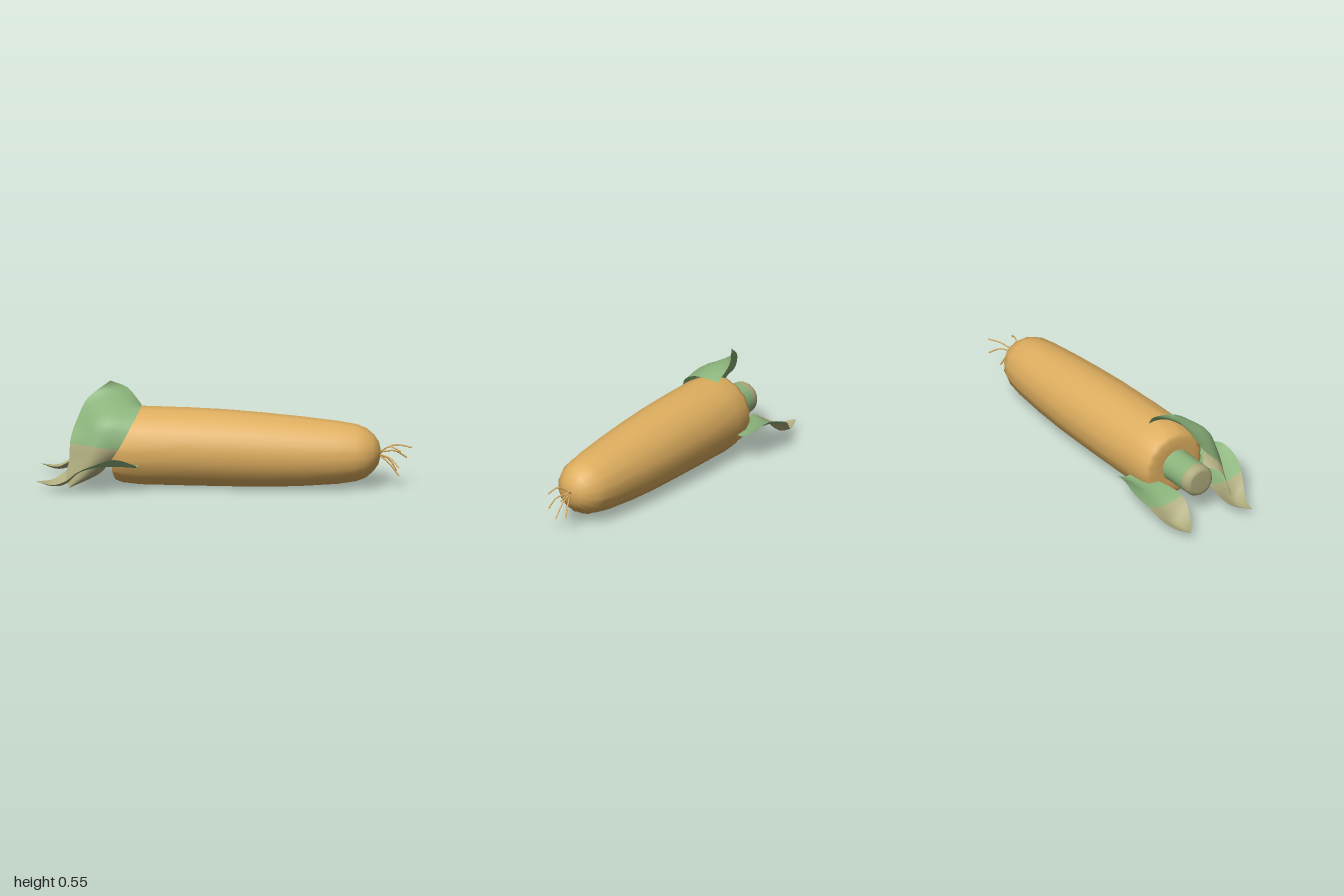
import * as THREE from 'three';
import { mergeVertices } from 'three/addons/utils/BufferGeometryUtils.js';

const V = (x, y, z) => new THREE.Vector3(x, y, z);

// Grid surface from a function (row, column) -> point; rows before split use material 0, the rest material 1
function gridSurface(rows, cols, point, split = rows) {
  const pos = [], index = [];
  for (let i = 0; i <= rows; i++) {
    for (let j = 0; j <= cols; j++) pos.push(...point(i / rows, j / cols).toArray());
  }
  for (let i = 0; i < rows; i++) {
    for (let j = 0; j < cols; j++) {
      const a = i * (cols + 1) + j, b = a + cols + 1;
      index.push(a, a + 1, b, b, a + 1, b + 1);
    }
  }
  let g = new THREE.BufferGeometry();
  g.setAttribute('position', new THREE.Float32BufferAttribute(pos, 3));
  g.setIndex(index);
  g = mergeVertices(g, 1e-5);
  g.addGroup(0, split * cols * 6, 0);
  g.addGroup(split * cols * 6, (rows - split) * cols * 6, 1);
  g.computeVertexNormals();
  return g;
}

// Leaf skinned through three-point cross-sections
function leafGeometry(sections, tanFrom, side = 1) {
  const edges = [0, 1, 2].map((k) =>
    new THREE.CatmullRomCurve3(sections.map((s) => V(s[k][0], s[k][1], s[k][2] * side))));
  const rows = 28;
  return gridSurface(rows, 8, (u, v) =>
    new THREE.CatmullRomCurve3(edges.map((c) => c.getPoint(u))).getPoint(v), Math.round(rows * tanFrom));
}

export function createModel() {
  const model = new THREE.Group();
  const material = (name, color, side = THREE.FrontSide) => {
    const m = new THREE.MeshStandardMaterial({ color, side });
    m.name = name;
    return m;
  };
  const golden = material('golden', 0xdeae5f);
  const green = material('leaf green', 0x8cb47c, THREE.DoubleSide);
  const tan = material('dry tan', 0xaeab7d, THREE.DoubleSide);
  const add = (name, geometry, mat) => {
    const mesh = new THREE.Mesh(geometry, mat);
    mesh.name = name;
    model.add(mesh);
    return mesh;
  };

  // Body: sixteen shallow lobes around a tapering, slightly drooping axis [x, radius, centre y]
  const profile = [
    [-0.595, 0, 0.205], [-0.6, 0.1, 0.205], [-0.6, 0.155, 0.205], [-0.588, 0.18, 0.206],
    [-0.55, 0.197, 0.208], [-0.45, 0.207, 0.209], [-0.2, 0.206, 0.206], [0, 0.203, 0.202],
    [0.2, 0.196, 0.195], [0.4, 0.184, 0.19], [0.6, 0.166, 0.187], [0.7, 0.15, 0.187],
    [0.75, 0.13, 0.187], [0.79, 0.096, 0.188], [0.815, 0.06, 0.188], [0.83, 0, 0.188],
  ];
  const lobes = 16;
  add('body', gridSurface(profile.length - 1, lobes * 2, (u, v) => {
    const [x, r, cy] = profile[Math.round(u * (profile.length - 1))];
    const k = Math.round(v * lobes * 2);
    const a = ((k + 1) / lobes) * Math.PI;
    const rr = r * (k % 2 ? 0.976 : 1.012);
    return V(x, cy + rr * Math.cos(a), -0.008 + rr * Math.sin(a));
  }), golden);

  // Stem stub with a dry cut end
  const stem = (name, points, mat) => {
    const g = new THREE.LatheGeometry(points.map(([r, y]) => new THREE.Vector2(r, y)), 20);
    const mesh = add(name, g, mat);
    mesh.rotation.z = Math.PI / 2;
    mesh.position.set(0, 0.2, 0);
  };
  stem('stem', [[0.092, 0.57], [0.088, 0.65], [0.088, 0.765]], green);
  stem('stemEnd', [[0.088, 0.765], [0.087, 0.8], [0.076, 0.817], [0.06, 0.82], [0, 0.82]], tan);

  // Pair of husk leaves, level at the base and drooping to a dry tip
  const sideLeaf = [
    [[-0.46, 0.15, 0.17], [-0.455, 0.14, 0.23], [-0.46, 0.165, 0.285]],
    [[-0.57, 0.145, 0.13], [-0.57, 0.145, 0.23], [-0.57, 0.205, 0.322]],
    [[-0.68, 0.14, 0.1], [-0.68, 0.135, 0.22], [-0.68, 0.175, 0.332]],
    [[-0.77, 0.13, 0.09], [-0.77, 0.105, 0.21], [-0.77, 0.13, 0.305]],
    [[-0.84, 0.09, 0.1], [-0.84, 0.04, 0.2], [-0.84, 0.07, 0.272]],
    [[-0.91, 0.05, 0.135], [-0.91, 0.025, 0.19], [-0.91, 0.04, 0.235]],
    [[-1, 0.05, 0.197], [-1, 0.05, 0.2], [-1, 0.05, 0.203]],
  ];
  add('leftLeaf', leafGeometry(sideLeaf, 0.5), [green, tan]);
  add('rightLeaf', leafGeometry(sideLeaf, 0.5, -1), [green, tan]);

  // Large husk leaf arching over the top and hanging down the front
  const topLeaf = [
    [[-0.62, 0.55, -0.047], [-0.53, 0.5, -0.097], [-0.455, 0.415, -0.075]],
    [[-0.74, 0.46, 0.0], [-0.62, 0.45, 0.055], [-0.455, 0.418, 0.07]],
    [[-0.79, 0.36, 0.05], [-0.66, 0.375, 0.17], [-0.49, 0.36, 0.17]],
    [[-0.82, 0.27, 0.13], [-0.68, 0.27, 0.205], [-0.55, 0.25, 0.205]],
    [[-0.825, 0.16, 0.16], [-0.71, 0.16, 0.215], [-0.6, 0.17, 0.18]],
    [[-0.84, 0.08, 0.18], [-0.75, 0.08, 0.21], [-0.66, 0.09, 0.15]],
    [[-0.823, 0.02, 0.2], [-0.82, 0.02, 0.2], [-0.817, 0.02, 0.2]],
  ];
  add('topLeaf', leafGeometry(topLeaf, 0.54), [green, tan]);

  // Fine curling root hairs at the tip
  const hairs = [
    [[0.82, 0.195, 0.008], [0.88, 0.233, 0.035], [0.94, 0.212, 0.055]],
    [[0.82, 0.195, -0.01], [0.9, 0.225, -0.045], [0.99, 0.208, -0.06]],
    [[0.82, 0.185, 0.012], [0.88, 0.172, 0.042], [0.93, 0.122, 0.06]],
    [[0.82, 0.192, -0.012], [0.9, 0.19, -0.052], [0.96, 0.147, -0.082]],
    [[0.82, 0.178, 0.004], [0.87, 0.14, 0.012], [0.925, 0.07, 0.017]],
    [[0.82, 0.178, -0.008], [0.87, 0.15, -0.025], [0.91, 0.083, -0.04]],
  ];
  hairs.forEach((pts, i) => {
    const curve = new THREE.CatmullRomCurve3(pts.map((p) => V(...p)));
    add('rootHair' + (i + 1), new THREE.TubeGeometry(curve, 10, 0.004, 6), golden);
  });

  return model;
}
